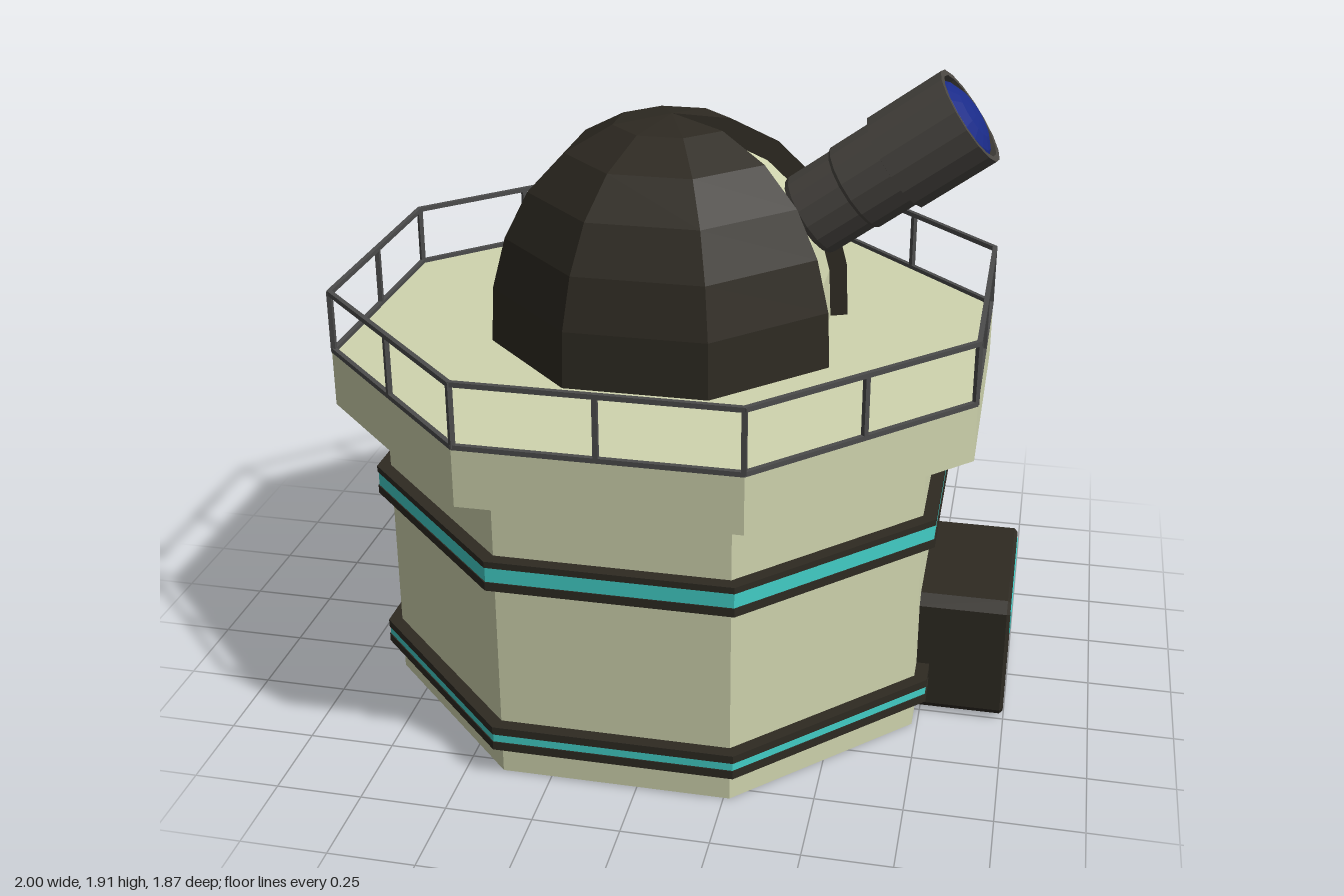
import * as THREE from 'three';

const CX = -0.063; // centre of the octagonal building
const K = 1 / Math.cos(Math.PI / 8); // flat distance -> corner radius

const mat = (color) => new THREE.MeshStandardMaterial({ color, flatShading: true, side: THREE.DoubleSide });

export function createModel() {
  const model = new THREE.Group();
  const cream = mat(0xd0d4ae), dark = mat(0x2e2a22), cyan = mat(0x42cfc8);
  const metal = mat(0x4a4742), rail = mat(0x4c4c4c), blue = mat(0x1a2b88);

  const add = (name, geo, m, parent = model) => {
    const mesh = new THREE.Mesh(geo, m);
    mesh.name = name;
    parent.add(mesh);
    return mesh;
  };
  // Octagonal lathe; profile is [distance to flat, y], going upward on the outside
  const octagon = (profile, faces = 8, start = Math.PI / 8) =>
    new THREE.LatheGeometry(profile.map(([a, y]) => new THREE.Vector2(a * K, y)), faces, start, faces * Math.PI / 4);

  const building = new THREE.Group();
  building.name = 'building';
  building.position.x = CX;
  model.add(building);

  // Walls and overhanging deck
  add('walls', octagon([[0, 0], [0.797, 0], [0.797, 0.9]]), cream, building);
  add('deck', octagon([[0.79, 0.89], [0.93, 0.918], [0.93, 1.085], [0, 1.085]]), cream, building);

  // Dark bands with a glowing strip
  for (const [name, y0, y1, s0, s1] of [['lowerBand', 0.095, 0.17, 0.121, 0.146], ['upperBand', 0.615, 0.705, 0.641, 0.686]]) {
    add(name, octagon([[0.79, y0], [0.835, y0], [0.835, s0], [0.828, s0], [0.828, s1], [0.835, s1], [0.835, y1], [0.79, y1]]), dark, building);
    add(name + 'Light', octagon([[0.832, s0], [0.832, s1]]), cyan, building);
  }

  // Railing: posts at corners and edge centres, top and bottom rails
  const railing = new THREE.Group();
  railing.name = 'railing';
  building.add(railing);
  const A = 0.924, T = 0.014, edge = 2 * A * Math.tan(Math.PI / 8);
  for (let i = 0; i < 8; i++) {
    const side = new THREE.Group();
    side.name = 'railingSide';
    side.rotation.y = i * Math.PI / 4;
    railing.add(side);
    for (const y of [1.09, 1.268])
      add('rail', new THREE.BoxGeometry(edge + T / 2, T, T), rail, side).position.set(0, y, A);
    for (const x of [0, edge / 2])
      add('post', new THREE.BoxGeometry(T, 0.185, T), rail, side).position.set(x, 1.18, A);
  }

  // Dome shell with one of its eight faces left open toward +x
  const outer = [[0.5, 1.08], [0.492, 1.25], [0.455, 1.4], [0.39, 1.535], [0.29, 1.645], [0.16, 1.72], [0, 1.745]];
  const shrink = (k) => outer.map(([a, y]) => [a * k, 1.08 + (y - 1.08) * k]);
  const inner = shrink(0.9);
  add('domeShell', octagon(outer, 7, Math.PI * 5 / 8), dark, building);
  const section = new THREE.Shape([...outer, ...inner.slice().reverse()].map(([a, y]) => new THREE.Vector2(a * K, y)));
  for (const s of [-1, 1])
    add('slitEdge', new THREE.ShapeGeometry(section), dark, building).rotation.y = s * Math.PI / 8;
  add('innerDome', octagon(inner), cream, building);

  // Telescope, built along +y and tilted toward +x
  const telescope = new THREE.Group();
  telescope.name = 'telescope';
  telescope.position.set(0.78, 1.785, 0);
  telescope.rotation.z = -Math.atan2(0.808, 0.589);
  model.add(telescope);
  const lathe = (pts) => new THREE.LatheGeometry(pts.map(([r, y]) => new THREE.Vector2(r, y)), 16);
  add('innerTube', lathe([[0, -0.545], [0.122, -0.545], [0.127, -0.53], [0.127, -0.39], [0.134, -0.38], [0.134, -0.24]]), metal, telescope);
  add('outerTube', lathe([[0.13, -0.25], [0.149, -0.245], [0.149, 0], [0.131, 0], [0.131, -0.05]]), metal, telescope);
  add('lens', lathe([[0.132, -0.025], [0.11, -0.004], [0.075, 0.012], [0.035, 0.021], [0, 0.023]]), blue, telescope);

  // Entrance block with chamfered corners and a lit window
  const w = 0.257, c = 0.03, y0 = 0.003, y1 = 0.395;
  const outline = new THREE.Shape([[-w + c, y0], [w - c, y0], [w, y0 + c], [w, y1 - c], [w - c, y1], [-w + c, y1], [-w, y1 - c], [-w, y0 + c]]
    .map(([x, y]) => new THREE.Vector2(x, y)));
  const entrance = add('entrance', new THREE.ExtrudeGeometry(outline, { depth: 0.278, bevelEnabled: true, bevelThickness: 0.01, bevelSize: 0.01, bevelOffset: -0.01, bevelSegments: 1 }), dark);
  entrance.rotation.y = Math.PI / 2;
  entrance.position.x = 0.71;
  add('entranceWindow', new THREE.BoxGeometry(0.01, 0.073, 0.46), cyan).position.set(0.996, 0.325, 0);

  return model;
}
